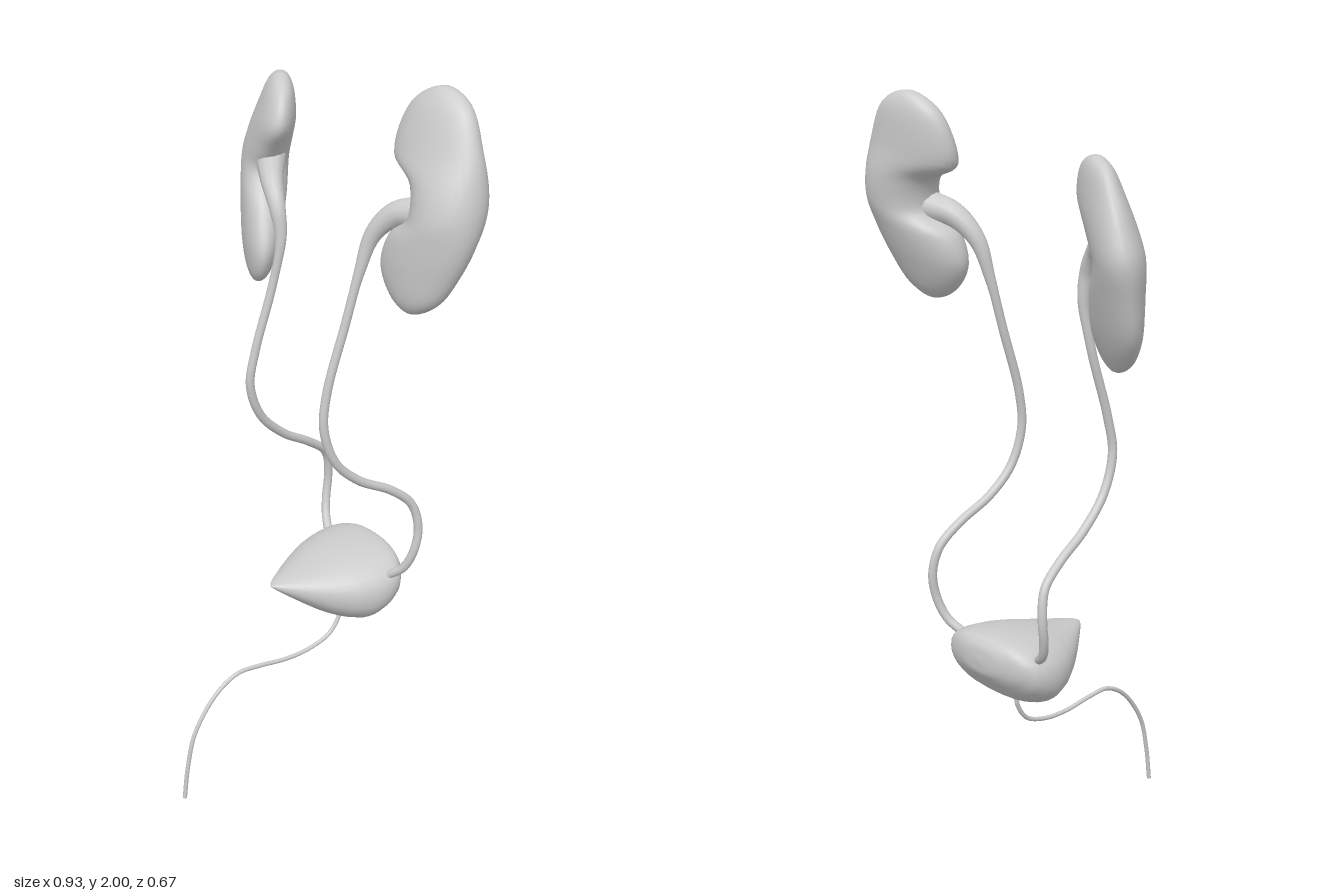
import * as THREE from 'three';
import { mergeVertices } from 'three/addons/utils/BufferGeometryUtils.js';

const material = new THREE.MeshStandardMaterial({ color: 0xcccccc, roughness: 0.7 });
const SIDES = 32;

function addMesh(parent, name, geometry) {
  const mesh = new THREE.Mesh(geometry, material);
  mesh.name = name;
  parent.add(mesh);
}

// Skin a series of closed rings; end rings may shrink to a point
function loft(rings) {
  const positions = [], index = [];
  rings.forEach((ring) => ring.forEach((p) => positions.push(p.x, p.y, p.z)));
  for (let i = 0; i < rings.length - 1; i++) {
    for (let j = 0; j < SIDES; j++) {
      const k = (j + 1) % SIDES;
      const a = i * SIDES + j, b = i * SIDES + k, c = a + SIDES, d = b + SIDES;
      index.push(a, b, c, b, d, c);
    }
  }
  const geometry = new THREE.BufferGeometry();
  geometry.setAttribute('position', new THREE.Float32BufferAttribute(positions, 3));
  geometry.setIndex(index);
  const merged = mergeVertices(geometry, 1e-5);
  merged.computeVertexNormals();
  return merged;
}

// Outline runs bottom, inner edge, top, outer edge; leanX and leanY tilt the body in z
function kidney({ side, outline, centre, depth, leanX, leanY }) {
  const curve = new THREE.CatmullRomCurve3(
    outline.map(([x, y]) => new THREE.Vector3(x, y, 0)), true, 'centripetal');
  const rings = [], steps = 48;
  for (let i = 0; i <= steps; i++) {
    const t = i / steps;
    const inner = curve.getPoint(t / 2), outer = curve.getPoint((1 - t / 2) % 1);
    const mid = inner.clone().add(outer).multiplyScalar(0.5);
    const half = inner.clone().sub(outer).multiplyScalar(0.5);
    const thick = depth * Math.pow(Math.max(0, Math.sin(Math.PI * t)), 0.75);
    rings.push(Array.from({ length: SIDES }, (_, j) => {
      const a = (j / SIDES) * Math.PI * 2;
      const p = mid.clone().addScaledVector(half, Math.cos(a));
      p.z = centre[2] + leanX * (p.x - centre[0]) + leanY * (p.y - centre[1])
        + side * thick * Math.sin(a);
      return p;
    }));
  }
  return loft(rings);
}

// Round tube through points, with a radius that may vary along its length
function duct(points, radiusAt, segments = 90) {
  const curve = new THREE.CatmullRomCurve3(points.map((p) => new THREE.Vector3(...p)));
  const geometry = new THREE.TubeGeometry(curve, segments, 1, 12);
  const pos = geometry.attributes.position, v = new THREE.Vector3();
  for (let i = 0; i < pos.count; i++) {
    const u = Math.floor(i / 13) / segments, c = curve.getPointAt(u);
    v.fromBufferAttribute(pos, i).sub(c).multiplyScalar(radiusAt(u)).add(c);
    pos.setXYZ(i, v.x, v.y, v.z);
  }
  return geometry;
}

// Sections along z: [z, half width, top, bottom]
function bladder() {
  const sections = [
    [-0.335, 0, 0.575, 0.575], [-0.33, 0.06, 0.61, 0.54], [-0.31, 0.125, 0.632, 0.51],
    [-0.28, 0.16, 0.636, 0.475], [-0.24, 0.17, 0.635, 0.445], [-0.2, 0.167, 0.631, 0.432],
    [-0.15, 0.15, 0.622, 0.445], [-0.1, 0.12, 0.611, 0.47], [-0.05, 0.083, 0.6, 0.505],
    [0, 0.042, 0.59, 0.543], [0.025, 0.02, 0.584, 0.563], [0.04, 0, 0.577, 0.577],
  ];
  const sizes = new THREE.CatmullRomCurve3(sections.map(([, w, t, b]) => new THREE.Vector3(w, t, b)));
  const depths = new THREE.CatmullRomCurve3(sections.map(([z]) => new THREE.Vector3(z, 0, 0)));
  const soften = (n) => Math.sign(n) * Math.pow(Math.abs(n), 0.88);
  const rings = [], steps = 44;
  for (let i = 0; i <= steps; i++) {
    const s = sizes.getPoint(i / steps), z = depths.getPoint(i / steps).x;
    rings.push(Array.from({ length: SIDES }, (_, j) => {
      const a = (j / SIDES) * Math.PI * 2;
      return new THREE.Vector3(-0.01 + s.x * soften(Math.cos(a)),
        (s.y + s.z) / 2 + ((s.y - s.z) / 2) * soften(Math.sin(a)), z);
    }));
  }
  return loft(rings);
}

export function createModel() {
  const model = new THREE.Group();
  model.name = 'urinarySystem';

  // Kidneys
  addMesh(model, 'leftKidney', kidney({
    side: 1, centre: [0.32, 1.72, -0.215], depth: 0.085, leanX: -0.08, leanY: -0.2,
    outline: [
      [0.32, 1.45], [0.25, 1.475], [0.195, 1.55], [0.21, 1.63], [0.272, 1.69], [0.255, 1.77],
      [0.17, 1.82], [0.19, 1.945], [0.28, 2], [0.37, 1.97], [0.43, 1.87], [0.455, 1.79],
      [0.465, 1.72], [0.46, 1.65], [0.435, 1.57], [0.39, 1.49],
    ],
  }));
  addMesh(model, 'rightKidney', kidney({
    side: -1, centre: [-0.32, 1.63, -0.17], depth: 0.075, leanX: 0.5, leanY: -0.15,
    outline: [
      [-0.275, 1.355], [-0.205, 1.385], [-0.175, 1.46], [-0.21, 1.56], [-0.268, 1.65],
      [-0.235, 1.71], [-0.18, 1.79], [-0.205, 1.865], [-0.285, 1.9], [-0.36, 1.88],
      [-0.405, 1.82], [-0.44, 1.75], [-0.465, 1.675], [-0.455, 1.58], [-0.43, 1.47], [-0.37, 1.395],
    ],
  }));

  // Ureters, widening into the renal pelvis at the kidney
  const funnel = (u) => 0.012 + 0.03 * Math.pow(Math.max(0, 1 - u / 0.24), 1.5);
  addMesh(model, 'leftUreter', duct([
    [0.3, 1.7, -0.2], [0.23, 1.68, -0.17], [0.18, 1.62, -0.14], [0.16, 1.52, -0.115],
    [0.15, 1.38, -0.08], [0.143, 1.2, -0.03], [0.145, 1.1, -0.02], [0.155, 1, -0.05],
    [0.165, 0.93, -0.12], [0.178, 0.875, -0.22], [0.19, 0.82, -0.28], [0.2, 0.75, -0.297],
    [0.198, 0.68, -0.287], [0.175, 0.62, -0.27], [0.135, 0.585, -0.25],
  ], funnel));
  addMesh(model, 'rightUreter', duct([
    [-0.29, 1.68, -0.16], [-0.22, 1.645, -0.115], [-0.175, 1.59, -0.1], [-0.158, 1.51, -0.1],
    [-0.167, 1.38, -0.08], [-0.176, 1.2, -0.03], [-0.18, 1.1, -0.015], [-0.182, 1, -0.05],
    [-0.187, 0.92, -0.13], [-0.194, 0.865, -0.22], [-0.203, 0.81, -0.285], [-0.21, 0.73, -0.3],
    [-0.205, 0.67, -0.29], [-0.185, 0.62, -0.275], [-0.145, 0.59, -0.255],
  ], funnel));

  // Bladder and urethra
  addMesh(model, 'bladder', bladder());
  addMesh(model, 'urethra', duct([
    [-0.01, 0.45, -0.2], [-0.01, 0.405, -0.195], [-0.01, 0.355, -0.16], [-0.01, 0.33, -0.09],
    [-0.01, 0.326, -0.01], [-0.01, 0.337, 0.08], [-0.01, 0.339, 0.15], [-0.01, 0.3, 0.22],
    [-0.01, 0.2, 0.292], [-0.01, 0.1, 0.318], [-0.01, 0, 0.331],
  ], () => 0.006));

  return model;
}
